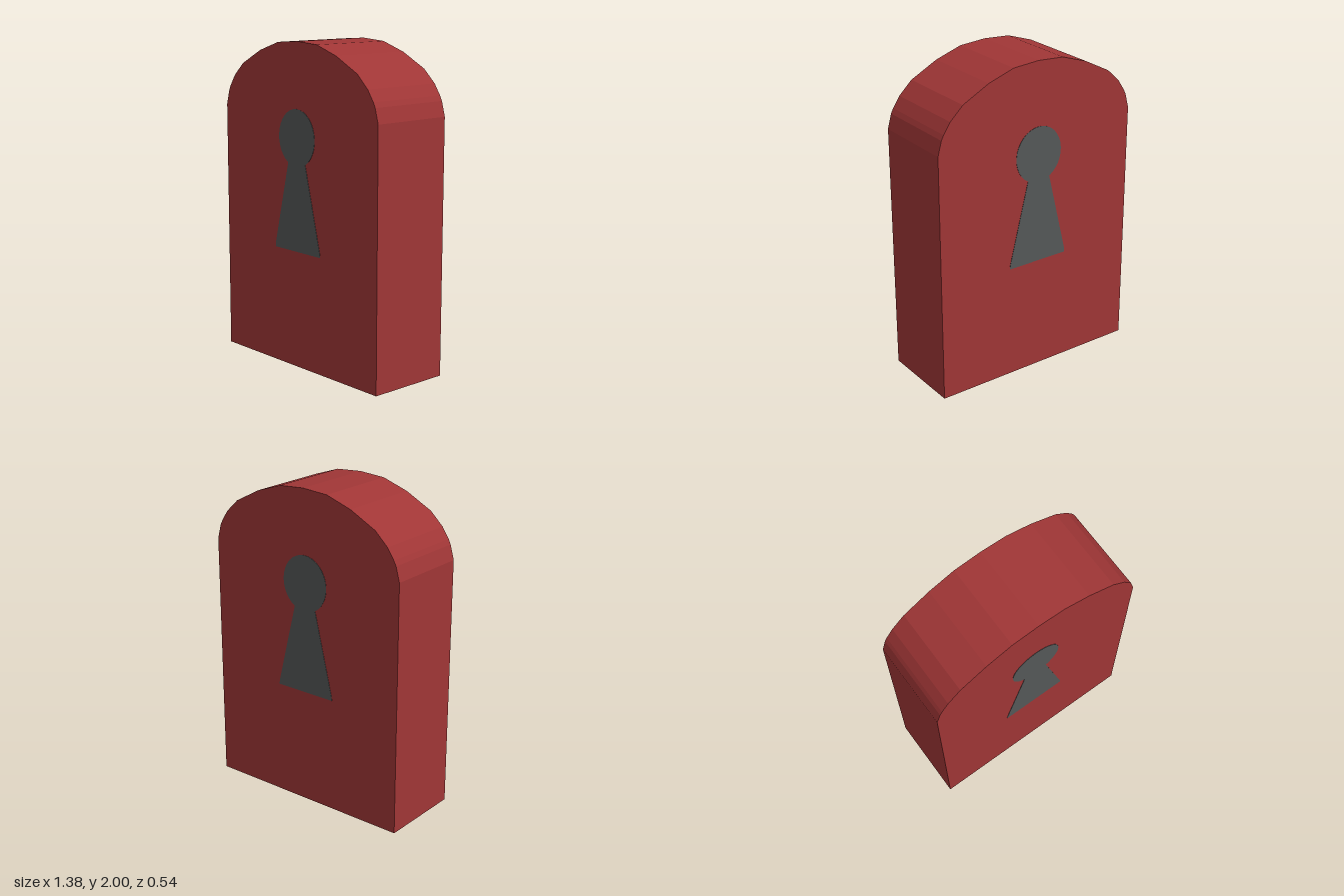
import * as THREE from 'three';

const HALF_DEPTH = 0.268;
const PLATE = 0.004;

export function createModel() {
  const group = new THREE.Group();
  group.name = 'keyholeBlock';

  const red = new THREE.MeshStandardMaterial({ color: 0xa03636 });
  red.name = 'brick red';
  const grey = new THREE.MeshStandardMaterial({ color: 0x545858 });
  grey.name = 'slate grey';

  const addExtrusion = (name, shape, depth, z, material) => {
    const geometry = new THREE.ExtrudeGeometry(shape, { depth, bevelEnabled: false, curveSegments: 14 });
    const mesh = new THREE.Mesh(geometry, material);
    mesh.name = name;
    mesh.position.z = z;
    group.add(mesh);
  };

  // Arched body: right half of the outline, mirrored for the left
  const half = [
    [0.69, 0], [0.69, 1.575], [0.665, 1.665], [0.65, 1.695], [0.605, 1.762],
    [0.52, 1.842], [0.345, 1.932], [0.175, 1.988],
  ].map(([x, y]) => new THREE.Vector2(x, y));
  const mirrored = half.map((p) => new THREE.Vector2(-p.x, p.y)).reverse();
  const outline = new THREE.Shape([...half, new THREE.Vector2(0, 2), ...mirrored]);
  addExtrusion('body', outline, HALF_DEPTH * 2, -HALF_DEPTH, red);

  // Keyhole: flared slot below a round head
  const keyhole = new THREE.Shape();
  keyhole.moveTo(-0.212, 0.73);
  keyhole.lineTo(0.203, 0.73);
  keyhole.lineTo(0.2, 0.755);
  keyhole.lineTo(0.071, 1.271);
  keyhole.absellipse(-0.007, 1.425, 0.163, 0.175, -1.07, Math.PI + 1.07, false, 0);
  keyhole.lineTo(-0.21, 0.755);
  keyhole.closePath();
  addExtrusion('frontKeyhole', keyhole, PLATE, HALF_DEPTH - PLATE / 2, grey);
  addExtrusion('backKeyhole', keyhole, PLATE, -HALF_DEPTH - PLATE / 2, grey);

  return group;
}
